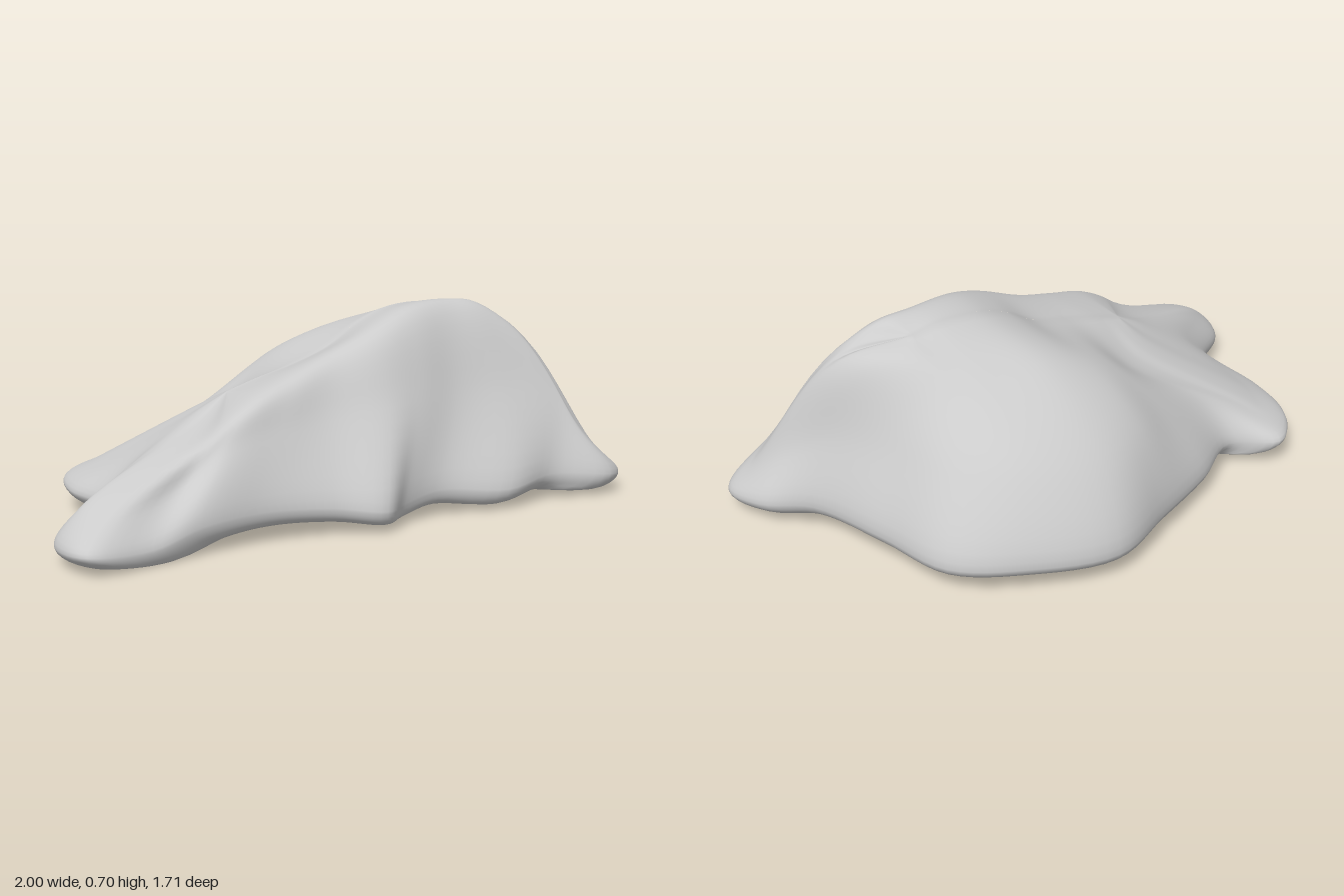
import * as THREE from 'three';

// Rings of [x, z, y], from the right tip round the front, left end and back
const foot = [
  [1, -.17, .07], [.95, -.07, .08], [.73, -.01, .1], [.55, .13, .08], [.3, .2, .1], [.17, .3, .08], [.1, .41, .08],
  [-.08, .43, .1], [-.3, .5, .11], [-.5, .63, .1], [-.65, .74, .06], [-.84, .85, .07], [-.95, .7, .06],
  [-.95, .58, .07], [-.84, .35, .1], [-.96, .12, .1], [-1, -.05, .1], [-.98, -.18, .1], [-.92, -.27, .1],
  [-.74, -.25, .1], [-.6, -.43, .1], [-.4, -.63, .1], [-.2, -.82, .1], [.1, -.86, .11], [.35, -.81, .11],
  [.53, -.6, .11], [.73, -.39, .11], [.9, -.31, .09],
];
const shoulder = [
  [.9, -.17, .18], [.84, -.13, .25], [.75, -.14, .36], [.58, -.08, .4], [.38, .02, .4], [.24, .12, .41], [.12, .2, .4],
  [-.08, .28, .37], [-.25, .38, .34], [-.42, .48, .3], [-.57, .55, .21], [-.78, .72, .16], [-.86, .62, .18],
  [-.84, .53, .185], [-.74, .3, .23], [-.82, .1, .2], [-.87, -.03, .18], [-.87, -.12, .17], [-.82, -.16, .18],
  [-.64, -.2, .25], [-.47, -.37, .32], [-.34, -.54, .36], [-.17, -.69, .35], [.1, -.72, .37], [.3, -.66, .37],
  [.48, -.5, .36], [.66, -.35, .34], [.82, -.25, .25],
];
const rim = [
  [.64, -.26, .57], [.61, -.25, .6], [.56, -.23, .64], [.47, -.21, .69], [.37, -.17, .7], [.22, -.05, .68], [.1, .05, .63],
  [-.06, .13, .56], [-.2, .24, .5], [-.34, .35, .44], [-.45, .41, .37], [-.5, .34, .35], [-.53, .28, .35],
  [-.54, .24, .36], [-.54, .18, .37], [-.53, .1, .37], [-.51, .03, .38], [-.47, -.03, .39], [-.43, -.09, .39],
  [-.38, -.16, .41], [-.29, -.28, .49], [-.19, -.36, .54], [-.04, -.42, .58], [.13, -.46, .575], [.26, -.44, .59],
  [.4, -.4, .61], [.53, -.35, .6], [.61, -.29, .59],
];

// Crest of the rock, from the low left shoulder up a step to the summit
const spine = [
  [-.42, .13, .44], [-.32, .08, .475], [-.2, .02, .51], [-.08, -.06, .555], [.04, -.13, .635], [.15, -.2, .68], [.28, -.26, .69], [.37, -.3, .67],
];

const SUB = 6, ROWS = 44, COLS = foot.length * SUB;
const toCurve = (points, closed) => new THREE.CatmullRomCurve3(
  points.map(([x, z, y]) => new THREE.Vector3(x, y, z)), closed, 'centripetal');

// Closed ring, sampled in step with the other rings
function sampleRing(points) {
  const curve = toCurve(points, true);
  return Array.from({ length: COLS }, (_, i) => curve.getPoint(i / COLS));
}

function createRockGeometry() {
  const [feet, shoulders, rims] = [foot, shoulder, rim].map(sampleRing);
  const crest = toCurve(spine, false);
  const start = crest.getPoint(0).setY(0);
  const span = crest.getPoint(1).setY(0).sub(start);
  const positions = [], indices = [], crestNormals = [];

  for (let c = 0; c < COLS; c++) {
    const f = feet[c];
    // Each profile ends at the crest point beside its rim point
    const along = rims[c].clone().setY(0).sub(start).dot(span) / span.lengthSq();
    const t = THREE.MathUtils.clamp(along, 0, 1);
    const tangent = crest.getTangent(t);
    crestNormals.push(new THREE.Vector3(0, 1, 0).addScaledVector(tangent, -tangent.y).normalize());
    // Profile from the underside, round the foot and up to the crest
    const profile = new THREE.CatmullRomCurve3([
      new THREE.Vector3(-.05, .07, 0),
      new THREE.Vector3(f.x * .5 - .02, .065, f.z * .5),
      new THREE.Vector3(f.x * .94, f.y - .05, f.z * .94),
      f, shoulders[c], rims[c], crest.getPoint(t),
    ], false, 'centripetal');
    for (let r = 0; r <= ROWS; r++) {
      const p = profile.getPoint(r / ROWS);
      positions.push(p.x, p.y, p.z);
    }
  }
  for (let c = 0; c < COLS; c++) {
    const next = (c + 1) % COLS;
    for (let r = 0; r < ROWS; r++) {
      const a = c * (ROWS + 1) + r, b = next * (ROWS + 1) + r;
      indices.push(a, a + 1, b + 1);
      if (r > 0) indices.push(a, b + 1, b);
    }
  }
  const geometry = new THREE.BufferGeometry();
  geometry.setAttribute('position', new THREE.Float32BufferAttribute(positions, 3));
  geometry.setIndex(indices);
  geometry.computeVertexNormals();

  // Matching normals where the profiles meet, below and along the crest
  const normals = geometry.attributes.normal;
  crestNormals.forEach((n, c) => {
    normals.setXYZ(c * (ROWS + 1), 0, -1, 0);
    normals.setXYZ(c * (ROWS + 1) + ROWS, n.x, n.y, n.z);
  });
  // Rest on the ground
  geometry.computeBoundingBox();
  geometry.translate(0, -geometry.boundingBox.min.y, 0);
  return geometry;
}

export function createModel() {
  const group = new THREE.Group();
  group.name = 'rockOutcrop';
  const rock = new THREE.Mesh(createRockGeometry(), new THREE.MeshStandardMaterial({ color: 0xcccccc }));
  rock.name = 'rock';
  group.add(rock);
  return group;
}
